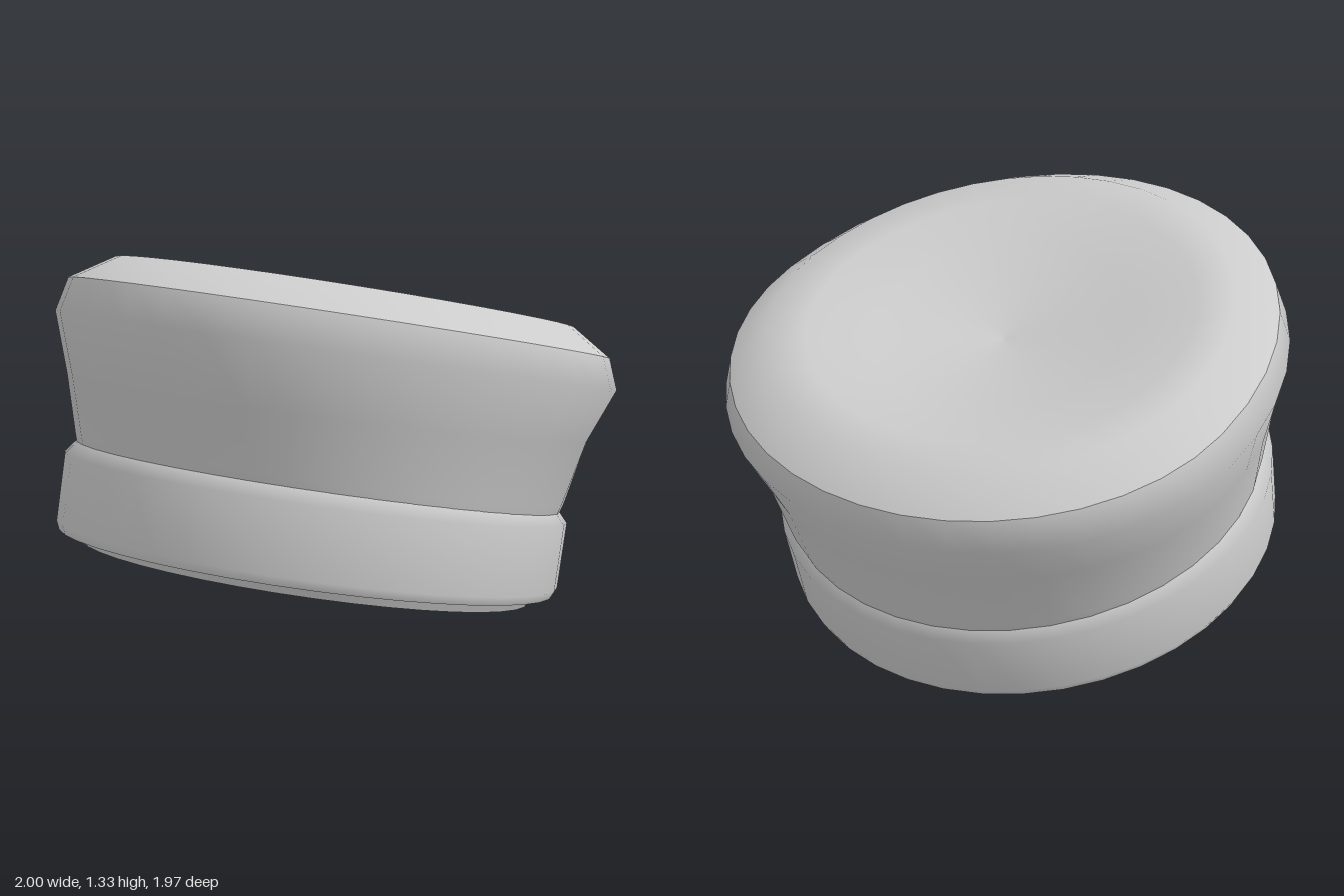
import * as THREE from 'three';

const SIDES = 40;

// Skin a surface through tilted egg-shaped rings; a ring of zero width closes to a point.
// Ring: [frontZ, frontY, backZ, backY, halfWidth, shift of the widest point along z]
function loft(name, rings, material) {
  const pos = [], index = [];
  for (const [fz, fy, bz, by, w, shift = 0] of rings) {
    const mid = (fz + bz) / 2 + shift;
    const slope = w > 0 ? (fy - by) / (fz - bz) : 0;
    for (let j = 0; j < SIDES; j++) {
      const a = (j / SIDES) * Math.PI * 2, c = Math.cos(a);
      const z = mid + c * (c > 0 ? fz - mid : mid - bz);
      pos.push(w * Math.sin(a), by + (z - bz) * slope, z);
    }
  }
  for (let i = 0; i < rings.length - 1; i++) {
    for (let j = 0; j < SIDES; j++) {
      const k = (j + 1) % SIDES;
      const a = i * SIDES + j, b = i * SIDES + k, c = b + SIDES, d = a + SIDES;
      index.push(a, b, d);
      if (rings[i + 1][4] > 0) index.push(b, c, d);
    }
  }
  const geo = new THREE.BufferGeometry();
  geo.setAttribute('position', new THREE.Float32BufferAttribute(pos, 3));
  geo.setIndex(index);
  geo.computeVertexNormals();
  const mesh = new THREE.Mesh(geo, material);
  mesh.name = name;
  return mesh;
}

export function createModel() {
  const group = new THREE.Group();
  group.name = 'cap';
  const mat = new THREE.MeshStandardMaterial({ color: 0xcccccc, side: THREE.DoubleSide });

  // Flaring side wall of the crown
  const crownEdge = [0.905, 1.275, -0.975, 0.855, 0.965, -0.1];
  group.add(loft('crownSide', [
    [0.89, 0.66, -0.80, 0.30, 0.865, 0],
    [0.90, 0.72, -0.825, 0.35, 0.88, -0.01],
    [0.925, 0.93, -0.90, 0.58, 0.93, -0.06],
    [0.96, 1.16, -0.985, 0.75, 1.0, -0.12],
    crownEdge,
  ], mat));

  // Rounded rim falling softly into the dished top
  group.add(loft('crownTop', [
    crownEdge,
    [0.72, 1.335, -0.86, 0.97, 0.83, -0.07],
    [0.58, 1.30, -0.72, 0.995, 0.69, -0.04],
    [0.38, 1.21, -0.52, 0.995, 0.47],
    [0.16, 1.11, -0.30, 1.005, 0.24],
    [-0.06, 1.03, -0.06, 1.03, 0],
  ], mat));

  // Broad head band with a barrelled face
  const bandBottom = [0.98, 0.388, -0.765, 0.028, 0.89];
  group.add(loft('headBand', [
    bandBottom,
    [0.985, 0.42, -0.78, 0.055, 0.905],
    [0.94, 0.655, -0.83, 0.28, 0.905],
    [0.89, 0.697, -0.80, 0.33, 0.865],
  ], mat));
  group.add(loft('headBandUnderside', [
    [0.905, 0.37, -0.70, 0.035, 0.825],
    bandBottom,
  ], mat));

  // Inner band showing below the head band
  const lip = [0.90, 0.338, -0.67, 0.002, 0.81];
  group.add(loft('sweatBandOutside', [lip, [0.915, 0.40, -0.71, 0.055, 0.835]], mat));
  group.add(loft('sweatBandInside', [[0.88, 0.70, -0.80, 0.345, 0.85], lip], mat));

  return group;
}
